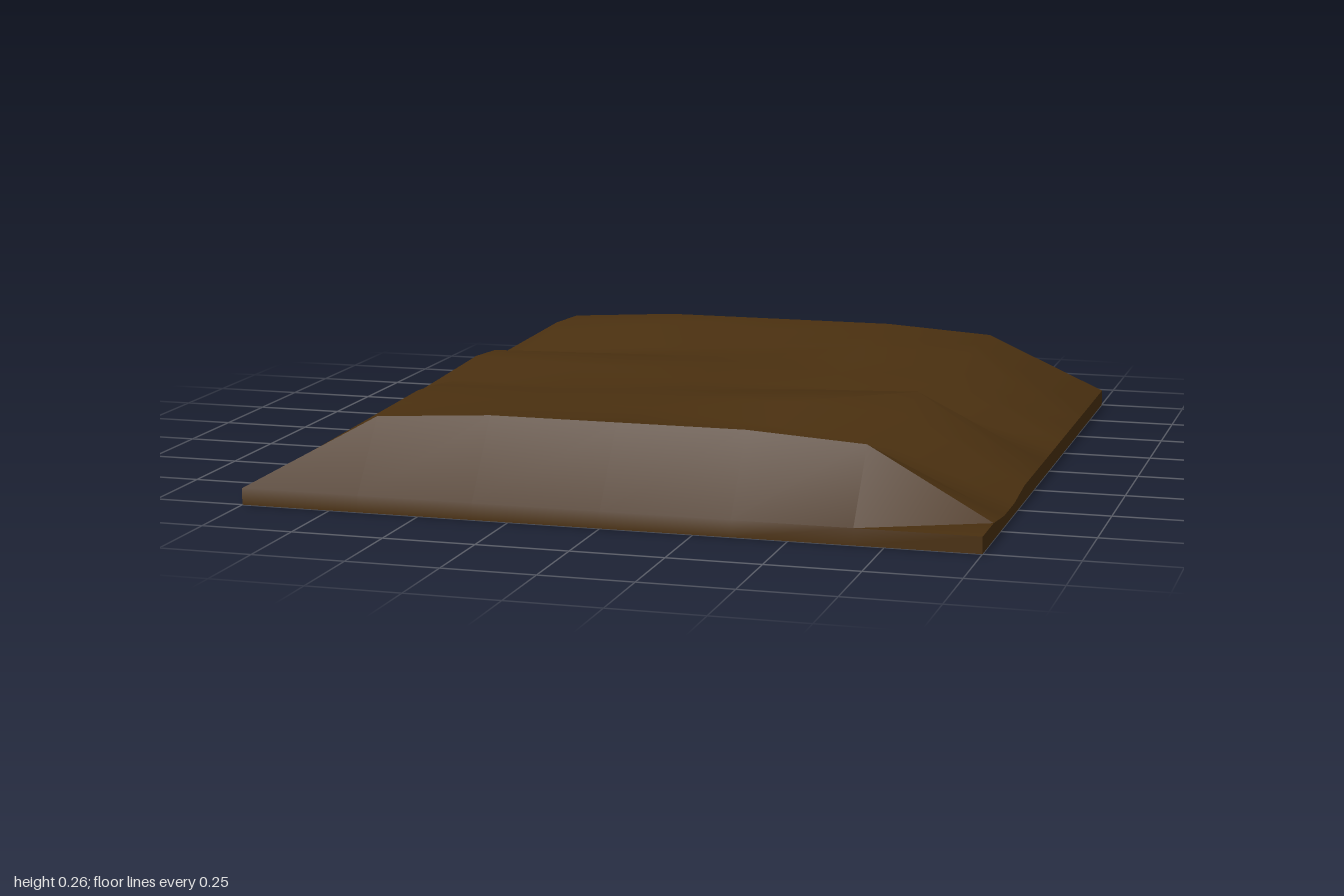
import * as THREE from 'three';
import { toCreasedNormals } from 'three/addons/utils/BufferGeometryUtils.js';

// Grid lines of the ground tile
const X = [-1, -0.67, -0.35, 0, 0.35, 0.67, 1];
const Z = [-1, -0.85, -0.65, -0.5, -0.38, -0.2, -0.08, 0.08, 0.22, 0.4, 0.55, 0.7, 0.85, 1];
const RIM = 0.045;

// Height across x, one cross-section per z line
const H = [
  [RIM, RIM, RIM, RIM, RIM, RIM, RIM],
  [RIM, 0.23, 0.25, 0.25, 0.25, 0.23, RIM],
  [RIM, 0.24, 0.25, 0.245, 0.245, 0.235, RIM],
  [0.035, 0.18, 0.2, 0.22, 0.24, 0.235, RIM],
  [0.035, 0.17, 0.19, 0.21, 0.22, 0.2, RIM],
  [RIM, 0.22, 0.235, 0.23, 0.21, 0.195, RIM],
  [RIM, 0.25, 0.245, 0.23, 0.19, 0.15, RIM],
  [RIM, 0.26, 0.25, 0.22, 0.19, 0.15, RIM],
  [RIM, 0.215, 0.21, 0.22, 0.24, 0.25, RIM],
  [RIM, 0.235, 0.24, 0.235, 0.24, 0.22, RIM],
  [RIM, 0.245, 0.24, 0.23, 0.2, 0.16, 0.03],
  [RIM, 0.235, 0.24, 0.235, 0.2, 0.155, 0.03],
  [RIM, 0.23, 0.25, 0.25, 0.25, 0.23, RIM],
  [RIM, RIM, RIM, RIM, RIM, RIM, RIM],
];

export function createModel() {
  const group = new THREE.Group();
  group.name = 'groundTile';

  // A segmented slab whose vertices move to the grid lines and heights
  const nx = X.length - 1, nz = Z.length - 1;
  const box = new THREE.BoxGeometry(2, 1, 2, nx, 1, nz);
  const pos = box.attributes.position;
  for (let k = 0; k < pos.count; k++) {
    const i = Math.round((pos.getX(k) + 1) / 2 * nx);
    const j = Math.round((pos.getZ(k) + 1) / 2 * nz);
    pos.setXYZ(k, X[i], pos.getY(k) > 0 ? H[j][i] : 0, Z[j]);
  }

  // Soft mounds with sharp front, back and rim edges
  const earth = new THREE.Mesh(
    toCreasedNormals(box, 0.72),
    new THREE.MeshStandardMaterial({ color: 0x4a3010 })
  );
  earth.name = 'earthMound';
  group.add(earth);
  return group;
}
